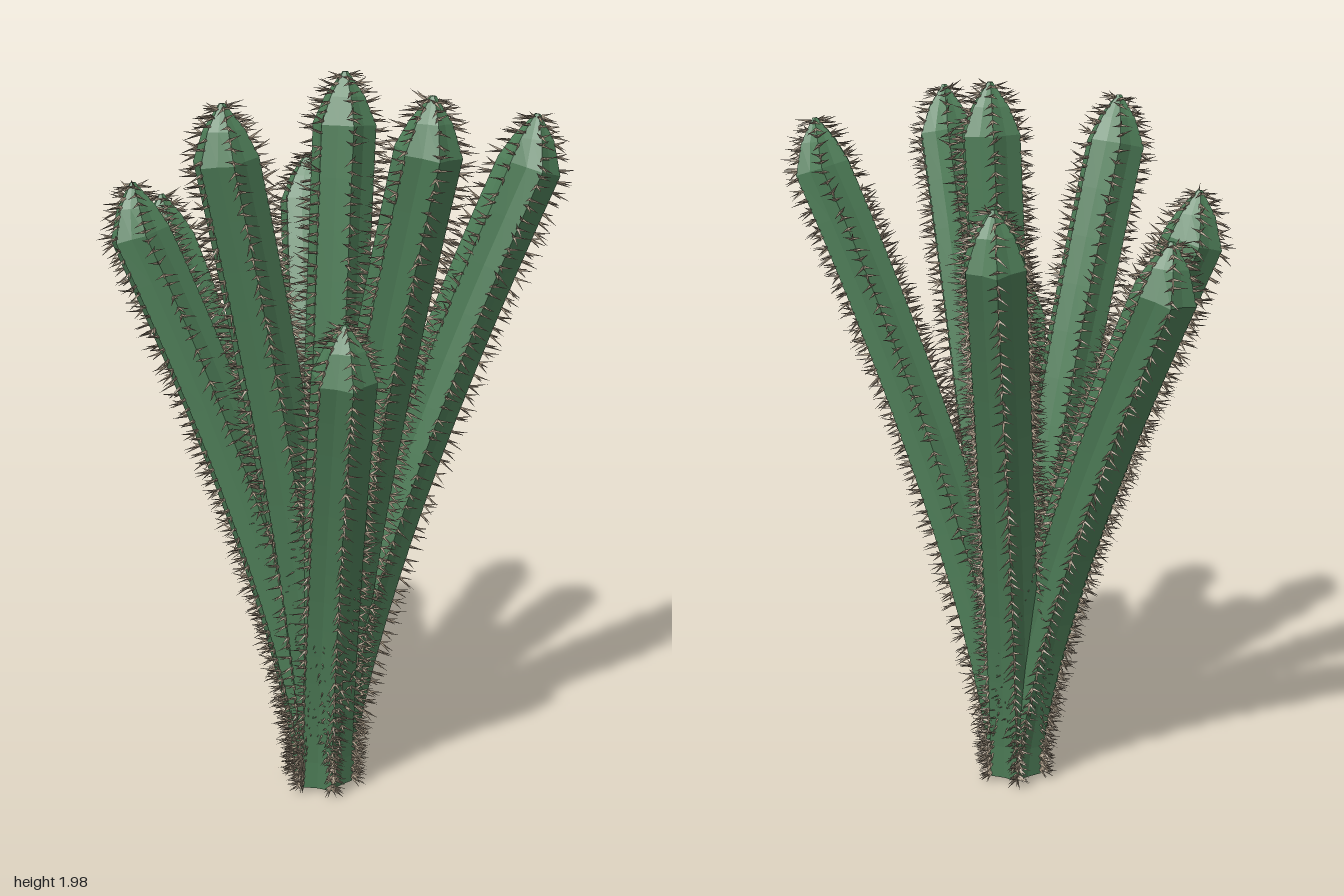
import * as THREE from 'three';
import { mergeGeometries } from 'three/addons/utils/BufferGeometryUtils.js';

const RADIUS = 0.083, RIBS = 6, SIDES = RIBS * 2, GROOVE = 0.81;
const BASE = new THREE.Vector3(-0.01, 0.03, 0.08), CAP = 0.13;
// tip position of every stem: x, height, z
const TIPS = [
  [0.06, 1.99, 0.08], [-0.37, 1.94, 0.09], [-0.045, 1.96, 0.46], [0.365, 1.89, 0.455],
  [-0.23, 1.43, 0.36], [-0.36, 1.72, -0.26], [0.31, 1.73, -0.30], [-0.09, 1.64, -0.47],
];

let seed = 7;
const rand = () => (seed = (seed * 16807) % 2147483647) / 2147483647;
const jitter = (a) => (rand() - 0.5) * 2 * a;

const stemMaterial = new THREE.MeshStandardMaterial({ color: 0x4f7f59, flatShading: true, side: THREE.DoubleSide });
const spineMaterial = new THREE.MeshStandardMaterial({ color: 0xa39480, flatShading: true, side: THREE.DoubleSide });

// Rings along a stem that leans outward and ends in an upright pointed cap
function stemRings([x, h, z]) {
  const rings = [], n = 14, top = h - CAP;
  const lean = new THREE.Vector3(x - BASE.x, 0, z - BASE.z);
  for (let i = 0; i <= n; i++) {
    const t = i / n;
    const c = BASE.clone().addScaledVector(lean, 0.97 * Math.pow(t, 1.4));
    c.y = BASE.y + t * (top - BASE.y);
    rings.push({ c, r: RADIUS });
  }
  for (const [dy, r] of [[0.07, 0.052], [CAP, 0.007]]) {
    const c = BASE.clone().addScaledVector(lean, 0.97 + 0.03 * dy / CAP);
    c.y = top + dy;
    rings.push({ c, r });
  }
  // frame of each ring, with one rib always facing x
  rings.forEach((ring, i) => {
    const a = rings[Math.max(i - 1, 0)].c, b = rings[Math.min(i + 1, rings.length - 1)].c;
    ring.t = i === 0 ? new THREE.Vector3(0, 1, 0) : b.clone().sub(a).normalize();
    ring.u = new THREE.Vector3(1, 0, 0);
    ring.u.addScaledVector(ring.t, -ring.u.dot(ring.t)).normalize();
    ring.v = ring.t.clone().cross(ring.u);
  });
  return rings;
}

const radial = (ring, angle) =>
  ring.u.clone().multiplyScalar(Math.cos(angle)).addScaledVector(ring.v, Math.sin(angle));

// Ribbed body lofted through the rings, closed at both ends
function stemGeometry(rings) {
  const pos = [], idx = [], last = rings.length - 1;
  for (const ring of rings) {
    for (let j = 0; j < SIDES; j++) {
      const r = ring.r * (j % 2 ? GROOVE : 1);
      pos.push(...radial(ring, (j / SIDES) * Math.PI * 2).multiplyScalar(r).add(ring.c).toArray());
    }
  }
  pos.push(...rings[0].c.toArray(), ...rings[last].c.toArray());
  const bottom = rings.length * SIDES, apex = bottom + 1;
  for (let j = 0; j < SIDES; j++) {
    const k = (j + 1) % SIDES;
    for (let i = 0; i < last; i++) {
      const a = i * SIDES + j, b = i * SIDES + k;
      idx.push(a, b, a + SIDES, b, b + SIDES, a + SIDES);
    }
    idx.push(bottom, k, j, apex, last * SIDES + j, last * SIDES + k);
  }
  const g = new THREE.BufferGeometry();
  g.setAttribute('position', new THREE.Float32BufferAttribute(pos, 3));
  g.setIndex(idx);
  const flat = g.toNonIndexed();
  flat.computeVertexNormals();
  return flat;
}

// Clusters of three thin spines along each rib
function spineGeometry(rings) {
  const thorn = new THREE.ConeGeometry(0.0042, 1, 3, 1, true).translate(0, 0.5, 0);
  const up = new THREE.Vector3(0, 1, 0), q = new THREE.Quaternion(), m = new THREE.Matrix4();
  const parts = [];
  for (let rib = 0; rib < RIBS; rib++) {
    const angle = (rib / RIBS) * Math.PI * 2;
    for (let i = 0; i < rings.length - 1; i++) {
      const a = rings[i], b = rings[i + 1];
      const na = radial(a, angle), nb = radial(b, angle);
      const pa = na.clone().multiplyScalar(a.r).add(a.c), pb = nb.clone().multiplyScalar(b.r).add(b.c);
      const count = Math.max(2, Math.round(pa.distanceTo(pb) / 0.029));
      for (let k = 0; k < count; k++) {
        const f = (k + 0.5 + jitter(0.2)) / count;
        const p = pa.clone().lerp(pb, f), n = na.clone().lerp(nb, f).normalize();
        const along = pb.clone().sub(pa).normalize(), side = along.clone().cross(n);
        for (const s of [-0.85, 0, 0.85]) {
          const dir = n.clone().addScaledVector(side, s + jitter(0.25))
            .addScaledVector(along, jitter(0.55)).normalize();
          const len = 0.041 + jitter(0.01);
          m.compose(p, q.setFromUnitVectors(up, dir), new THREE.Vector3(1, len, 1));
          parts.push(thorn.clone().applyMatrix4(m));
        }
      }
    }
  }
  return mergeGeometries(parts);
}

export function createModel() {
  const cactus = new THREE.Group();
  cactus.name = 'cactus';
  TIPS.forEach((tip, i) => {
    const rings = stemRings(tip);
    const stem = new THREE.Group();
    stem.name = `stem${i + 1}`;
    const body = new THREE.Mesh(stemGeometry(rings), stemMaterial);
    body.name = 'ribbedBody';
    const spines = new THREE.Mesh(spineGeometry(rings), spineMaterial);
    spines.name = 'spines';
    stem.add(body, spines);
    cactus.add(stem);
  });
  return cactus;
}
